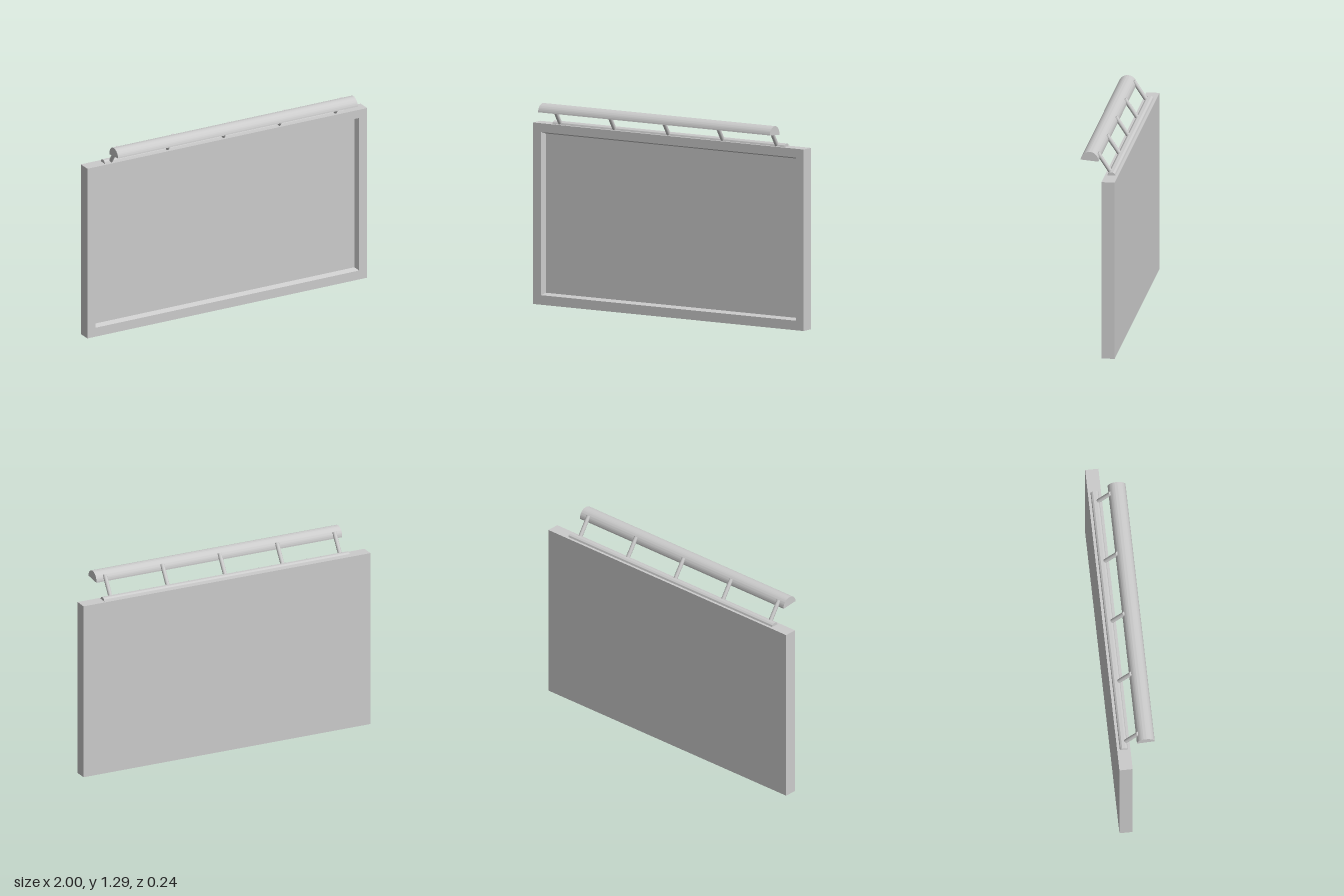
import * as THREE from 'three';
import { toCreasedNormals } from 'three/addons/utils/BufferGeometryUtils.js';

const material = new THREE.MeshStandardMaterial({ color: 0xcccccc });
const X0 = -0.866, X1 = 0.847; // ends of the lamp hood and its rail

function add(group, name, geometry) {
  const mesh = new THREE.Mesh(geometry, material);
  mesh.name = name;
  group.add(mesh);
  return mesh;
}

// Rectangular loops [left, right, bottom, top, z] joined by flat quads and capped at both ends.
function loftRectangles(loops) {
  const rings = loops.map(([l, r, b, t, z]) => [[l, b, z], [r, b, z], [r, t, z], [l, t, z]]);
  const pos = [];
  const quad = (a, b, c, d) => pos.push(...a, ...b, ...c, ...a, ...c, ...d);
  for (let k = 0; k < rings.length - 1; k++) {
    for (let i = 0; i < 4; i++) {
      const j = (i + 1) % 4;
      quad(rings[k][i], rings[k][j], rings[k + 1][j], rings[k + 1][i]);
    }
  }
  quad(...rings[rings.length - 1]);
  quad(...[...rings[0]].reverse());
  const geometry = new THREE.BufferGeometry();
  geometry.setAttribute('position', new THREE.Float32BufferAttribute(pos, 3));
  geometry.computeVertexNormals();
  return geometry;
}

// Closed half-round bar running along x, flat side down.
function halfRoundBar(radius, height) {
  const shape = new THREE.Shape();
  shape.absellipse(0, 0, radius, height, 0, Math.PI, false, 0);
  shape.closePath();
  const bar = new THREE.ExtrudeGeometry(shape, { depth: X1 - X0, bevelEnabled: false, curveSegments: 24 });
  bar.rotateY(Math.PI / 2);
  return toCreasedNormals(bar, 0.6);
}

export function createModel() {
  const model = new THREE.Group();
  model.name = 'litSignboard';

  // Board with a shallow recess whose walls taper inward
  add(model, 'board', loftRectangles([
    [-1, 1, 0, 1.143, -0.117],
    [-1, 1, 0, 1.143, -0.034],
    [-0.942, 0.942, 0.06, 1.088, -0.034],
    [-0.929, 0.929, 0.072, 1.075, -0.07],
  ]));

  // Mounting rail on the top edge
  add(model, 'mountingRail', halfRoundBar(0.025, 0.02)).position.set(X0, 1.143, -0.075);

  // Half-round lamp hood, tipped slightly forward
  const hood = add(model, 'lampHood', halfRoundBar(0.056, 0.056));
  hood.position.set(X0, 1.234, 0.063);
  hood.rotation.x = -0.09;

  // Slanted arms from rail to hood
  const foot = new THREE.Vector3(0, 1.147, -0.063);
  const tip = new THREE.Vector3(0, 1.269, 0.019);
  const axis = tip.clone().sub(foot);
  const armGeometry = new THREE.CylinderGeometry(0.013, 0.013, axis.length(), 20);
  const arms = new THREE.Group();
  arms.name = 'supportArms';
  for (let i = 0; i < 5; i++) {
    const arm = add(arms, 'supportArm', armGeometry);
    arm.position.copy(foot).add(tip).multiplyScalar(0.5);
    arm.position.x = -0.816 + 0.4 * i;
    arm.quaternion.setFromUnitVectors(new THREE.Vector3(0, 1, 0), axis.clone().normalize());
  }
  model.add(arms);
  return model;
}
